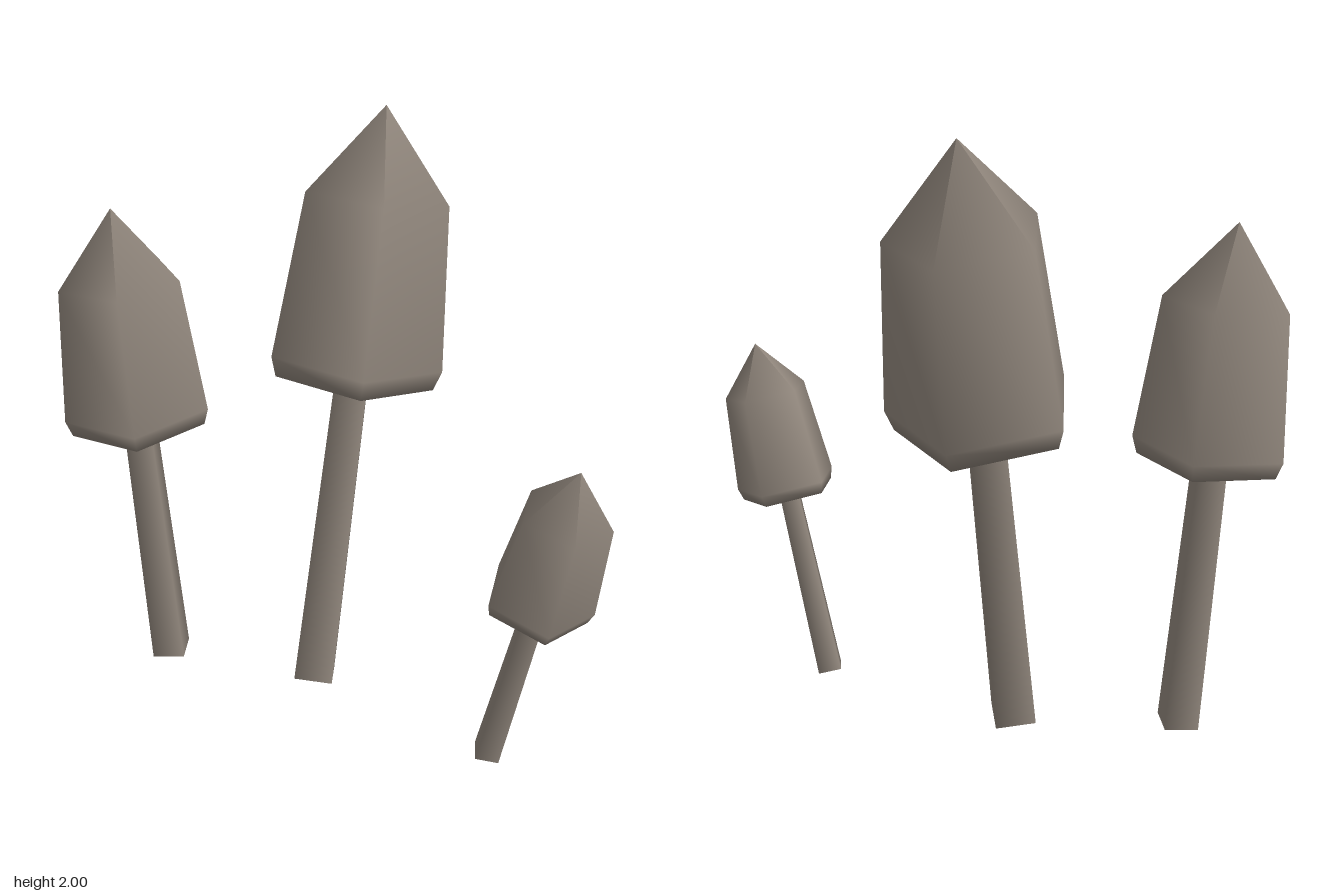
import * as THREE from 'three';

export function createModel() {
  const group = new THREE.Group();
  const greyBrown = new THREE.MeshStandardMaterial({ color: 0x8f857b });

  // Hollow five-sided cap, unit mushroom height: inside, lip, wall, point
  const capProfile = [
    [0, 0.83], [0.1, 0.76], [0.12, 0.568], [0.137, 0.555],
    [0.148, 0.588], [0.121, 0.858], [0, 1],
  ].map(([r, y]) => new THREE.Vector2(r, y));
  const capGeometry = new THREE.LatheGeometry(capProfile, 5, Math.PI);

  // Four-sided tapering stem, reaching up inside the cap
  const stemGeometry = new THREE.CylinderGeometry(0.034, 0.047, 0.8, 4, 2);
  stemGeometry.translate(0, 0.4, 0);

  // Each mushroom leans from its foot to its tip
  const up = new THREE.Vector3(0, 1, 0);
  function addMushroom(name, foot, tip) {
    const base = new THREE.Vector3(...foot);
    const axis = new THREE.Vector3(...tip).sub(base);
    const mushroom = new THREE.Group();
    mushroom.name = name;
    const cap = new THREE.Mesh(capGeometry, greyBrown);
    cap.name = 'cap';
    const stem = new THREE.Mesh(stemGeometry, greyBrown);
    stem.name = 'stem';
    mushroom.add(cap, stem);
    mushroom.position.copy(base);
    mushroom.scale.setScalar(axis.length());
    mushroom.quaternion.setFromUnitVectors(up, axis.normalize());
    group.add(mushroom);
  }

  addMushroom('largeMushroom', [0.005, 0.02, -0.145], [0.405, 2, -0.245]);
  addMushroom('mediumMushroom', [-0.3, 0.02, -0.605], [-0.36, 1.71, -0.7]);
  addMushroom('smallMushroom', [0.165, 0.02, 0.565], [0.215, 1.19, 0.82]);

  return group;
}
